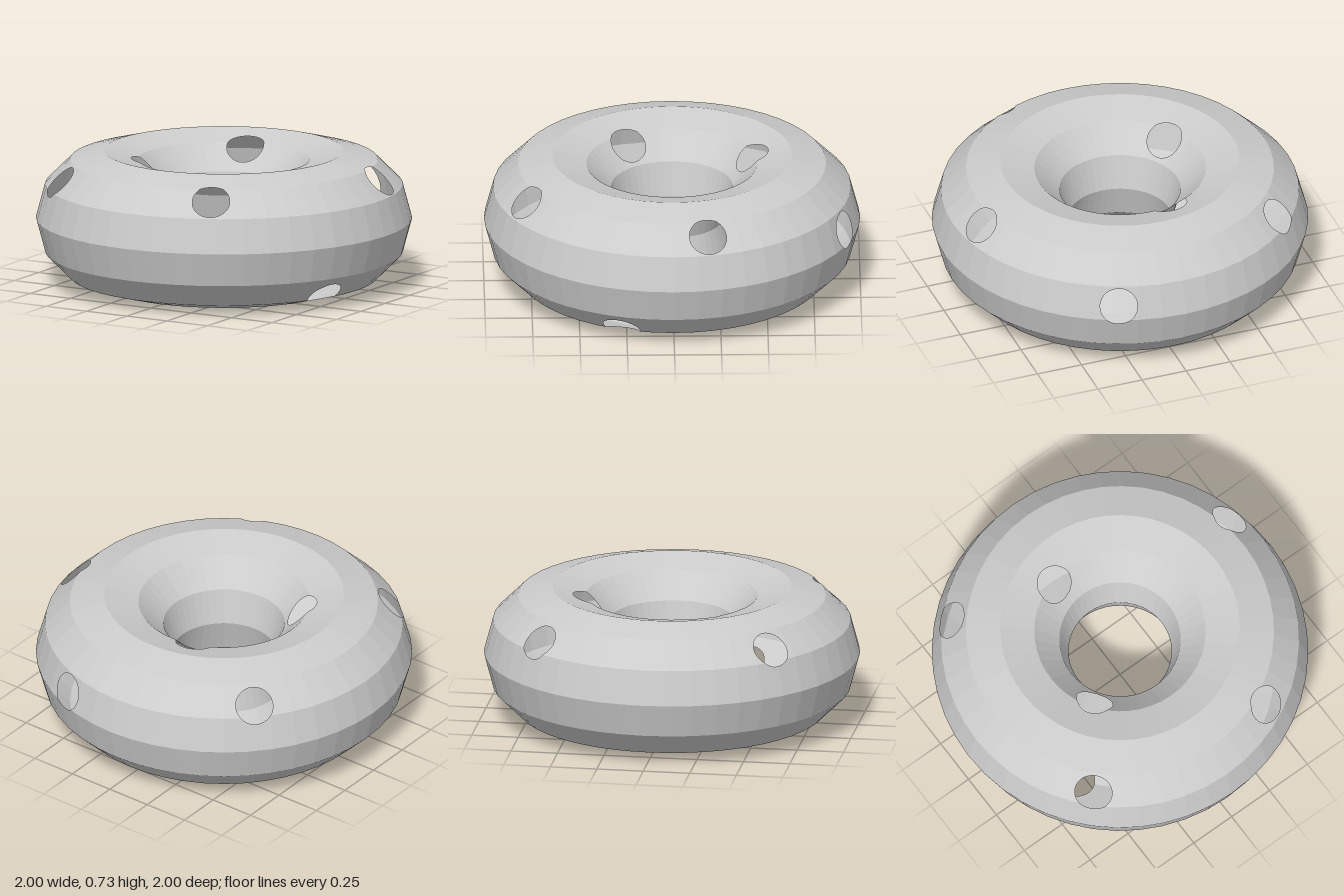
import * as THREE from 'three';

const RING = 0.637, TUBE = 0.363;   // ring radius and tube radius
const AROUND = 48, SIDES = 12;      // facets around the ring and around the tube
const HOLE_R = 0.1, FINE = 10;      // hole radius, subdivision of facets beside a hole

// Centres of the round holes in the skin
const HOLES = [
  [-0.67, 0.59, -0.61], [0.35, 0.437, -0.915], [0.855, 0.62, -0.18],
  [-0.64, 0.597, 0.63], [0.39, 0.623, 0.78],                          // outer
  [-0.12, 0.659, -0.42], [-0.34, 0.633, 0.23],                        // upper inner
  [0.79, 0.069, 0.28], [-0.545, 0, 0.345], [-0.256, 0.026, -0.476],   // underside
].map((p) => new THREE.Vector3(...p));

function corner(i, j) {
  const a = (i / AROUND) * Math.PI * 2, b = (j / SIDES) * Math.PI * 2;
  const rho = RING + TUBE * Math.cos(b);
  return new THREE.Vector3(rho * Math.sin(a), TUBE + TUBE * Math.sin(b), rho * Math.cos(a));
}

// Distance outside the rim of a hole; negative inside it
const outside = (p, hole) => p.distanceTo(hole) - HOLE_R;

// Keep the part of a convex polygon that lies outside a hole
function clip(poly, hole) {
  const kept = [];
  poly.forEach((p, k) => {
    const q = poly[(k + 1) % poly.length];
    const dp = outside(p, hole), dq = outside(q, hole);
    if (dp >= 0) kept.push(p);
    if ((dp >= 0) !== (dq >= 0)) kept.push(p.clone().lerp(q, dp / (dp - dq)));
  });
  return kept;
}

// Flat facets of the tube, cut where they meet a hole
function skinGeometry() {
  const pos = [];
  const addPolygon = (poly) => {
    for (let k = 1; k + 1 < poly.length; k++) {
      for (const p of [poly[0], poly[k], poly[k + 1]]) pos.push(p.x, p.y, p.z);
    }
  };
  for (let i = 0; i < AROUND; i++) {
    for (let j = 0; j < SIDES; j++) {
      const [a, b, c, d] = [corner(i, j), corner(i + 1, j), corner(i + 1, j + 1), corner(i, j + 1)];
      const mid = a.clone().add(c).multiplyScalar(0.5);
      const reach = HOLE_R + a.distanceTo(c) / 2 + 0.02;
      const near = HOLES.filter((h) => h.distanceTo(mid) < reach);
      const n = near.length ? FINE : 1;
      const at = (u, v) => a.clone().lerp(b, u / n).lerp(d.clone().lerp(c, u / n), v / n);
      for (let u = 0; u < n; u++) {
        for (let v = 0; v < n; v++) {
          const [p, q, r, s] = [at(u, v), at(u + 1, v), at(u + 1, v + 1), at(u, v + 1)];
          for (const tri of [[p, q, r], [p, r, s]]) addPolygon(near.reduce(clip, tri));
        }
      }
    }
  }
  const geometry = new THREE.BufferGeometry();
  geometry.setAttribute('position', new THREE.Float32BufferAttribute(pos, 3));
  geometry.computeVertexNormals();
  return geometry;
}

export function createModel() {
  const group = new THREE.Group();
  group.name = 'hollowRing';

  // Thin hollow skin, seen from inside through the holes
  const skin = new THREE.Mesh(
    skinGeometry(),
    new THREE.MeshStandardMaterial({ color: 0xcccccc, flatShading: true, side: THREE.DoubleSide }),
  );
  skin.name = 'perforatedRingSkin';
  group.add(skin);
  return group;
}
